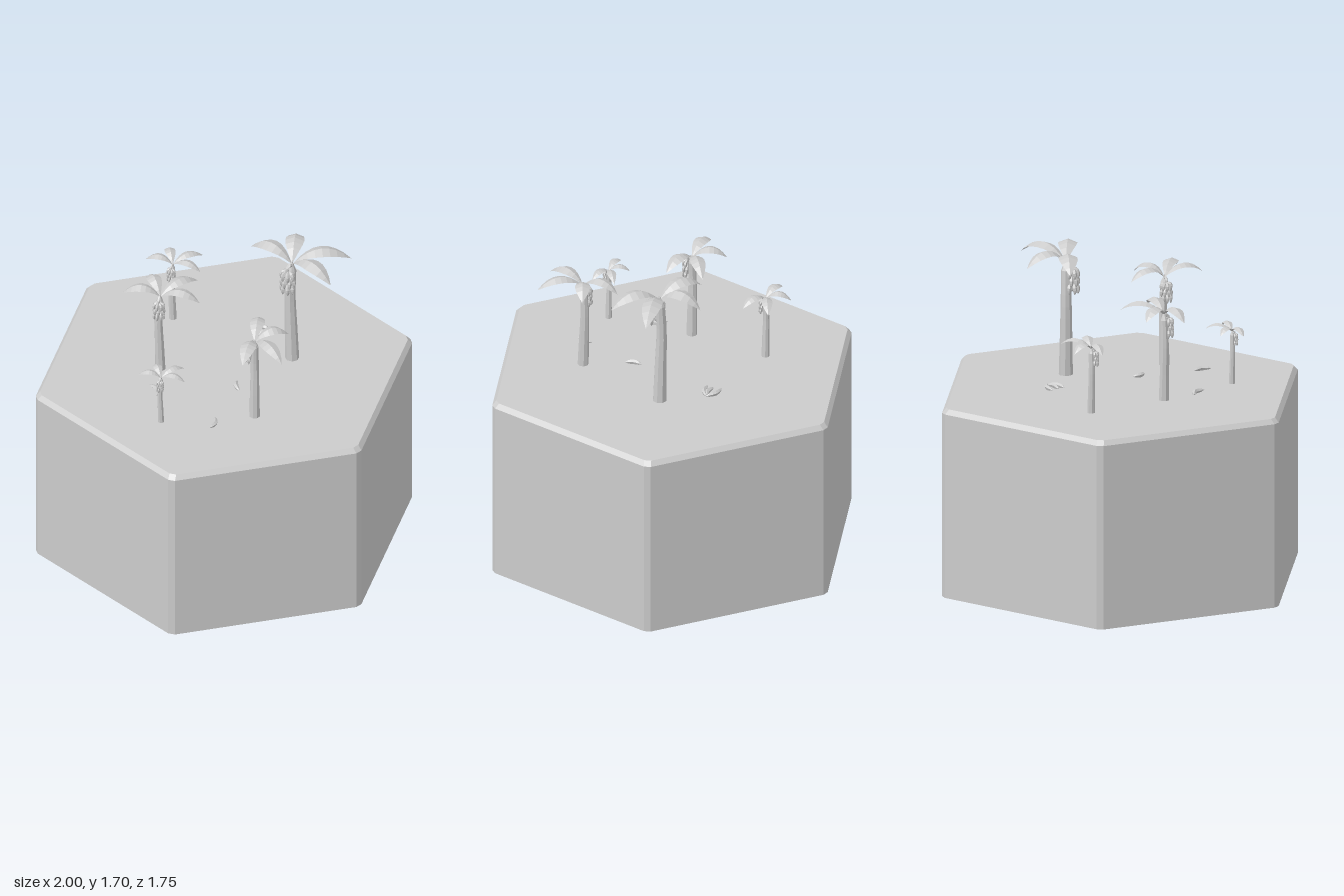
import * as THREE from 'three';

const GROUND = 1.015;
const V = (x, y, z) => new THREE.Vector3(x, y, z);
const grey = new THREE.MeshStandardMaterial({ color: 0xcccccc, flatShading: true });
const thin = new THREE.MeshStandardMaterial({ color: 0xcccccc, flatShading: true, side: THREE.DoubleSide });

function part(name, geometry, material = grey) {
  const mesh = new THREE.Mesh(geometry, material);
  mesh.name = name;
  return mesh;
}

// Tube along points whose radius follows radiusAt(t)
function taperedTube(points, radiusAt, segments, sides) {
  const curve = new THREE.CatmullRomCurve3(points);
  const geo = new THREE.TubeGeometry(curve, segments, 1, sides);
  const pos = geo.attributes.position;
  const v = V(0, 0, 0);
  for (let i = 0; i <= segments; i++) {
    const c = curve.getPointAt(i / segments);
    for (let j = 0; j <= sides; j++) {
      const k = i * (sides + 1) + j;
      v.fromBufferAttribute(pos, k).sub(c).multiplyScalar(radiusAt(i / segments)).add(c);
      pos.setXYZ(k, v.x, v.y, v.z);
    }
  }
  geo.computeVertexNormals();
  return geo;
}

function banana(points, r) {
  const radiusAt = t => (t === 0 || t === 1 ? 0 : r * (0.35 + 0.65 * Math.sin(Math.PI * t)));
  return part('banana', taperedTube(points, radiusAt, 6, 5));
}

// Hexagonal ring with cut corners
function hexRing(apothem, y) {
  const R = apothem / Math.cos(Math.PI / 6), cut = 0.021 / R, ring = [];
  const corner = k => V(R * Math.cos(k * Math.PI / 3), y, R * Math.sin(k * Math.PI / 3));
  for (let k = 0; k < 6; k++) {
    ring.push(corner(k).lerp(corner(k - 1), cut), corner(k).lerp(corner(k + 1), cut));
  }
  return ring;
}

// Block: straight walls, small bevel around the top
function plinth() {
  const rings = [hexRing(0.875, 0), hexRing(0.875, 0.99), hexRing(0.855, GROUND)];
  const tris = [], n = 12;
  for (let i = 0; i < n; i++) {
    const j = (i + 1) % n;
    for (let r = 0; r < 2; r++) {
      const a = rings[r], b = rings[r + 1];
      tris.push(a[i], b[i], b[j], a[i], b[j], a[j]);
    }
    tris.push(V(0, GROUND, 0), rings[2][j], rings[2][i]);
    tris.push(V(0, 0, 0), rings[0][i], rings[0][j]);
  }
  const geo = new THREE.BufferGeometry().setFromPoints(tris);
  geo.computeVertexNormals();
  return part('hexagonalBase', geo);
}

// Arched leaf with a raised midrib, running along +x
function leaf(length, halfWidth) {
  const n = 8, pts = [], index = [];
  for (let i = 0; i <= n; i++) {
    const t = i / n, x = length * t;
    const y = 0.33 * t * (1 - t) + 0.005 * t;
    const w = halfWidth * Math.pow(Math.sin(Math.PI * Math.pow(t, 1.1)), 0.9) || 0;
    pts.push(V(x, y - 0.4 * w, -w), V(x, y, 0), V(x, y - 0.4 * w, w));
    if (i < n) {
      for (let s = 0; s < 2; s++) {
        const a = i * 3 + s;
        index.push(a, a + 1, a + 4, a, a + 4, a + 3);
      }
    }
  }
  const geo = new THREE.BufferGeometry().setFromPoints(pts);
  geo.setIndex(index);
  geo.computeVertexNormals();
  return part('leaf', geo, thin);
}

function bananaTree() {
  const tree = new THREE.Group();
  tree.name = 'bananaTree';

  // Slightly bowed trunk closing to a point inside the crown
  const path = [V(0, -0.01, 0), V(-0.006, 0.2, 0.002), V(-0.012, 0.4, 0.003), V(0, 0.625, 0)];
  const trunkRadius = t => (t === 1 ? 0 : 0.037 - 0.013 * t);
  tree.add(part('trunk', taperedTube(path, trunkRadius, 10, 8)));

  // Four leaves fanning away from the fruit
  const leaves = [[169, 0.26], [231, 0.24], [306, 0.31], [358, 0.277]];
  for (const [deg, length] of leaves) {
    const m = leaf(length, 0.05);
    m.position.y = 0.6;
    m.rotation.y = -THREE.MathUtils.degToRad(deg);
    tree.add(m);
  }

  // Hanging fruit bunch
  const bunch = new THREE.Group();
  bunch.name = 'fruitBunch';
  const stalk = [V(0, 0.59, 0), V(0, 0.605, 0.025), V(0, 0.55, 0.04), V(0, 0.44, 0.042)];
  bunch.add(part('fruitStalk', taperedTube(stalk, t => (t === 1 ? 0 : 0.01), 8, 5)));
  [0.575, 0.535, 0.495].forEach((y, tier) => {
    for (let k = 0; k < 5; k++) {
      const a = -1.7 + 0.85 * k + (tier % 2 ? 0.2 : -0.1);
      const at = (r, h) => V(r * Math.sin(a), h, 0.03 + r * Math.cos(a));
      bunch.add(banana([at(0.006, y), at(0.03, y - 0.015), at(0.034, y - 0.06)], 0.012));
    }
  });
  tree.add(bunch);
  return tree;
}

export function createModel() {
  const model = new THREE.Group();
  model.name = 'bananaGrove';
  model.add(plinth());

  // Trees: x, z, scale, turn in degrees
  const spots = [
    [0.195, -0.302, 1, 0],
    [0.42, 0.188, 0.785, -63],
    [-0.215, 0.25, 0.765, 27],
    [0.118, 0.57, 0.465, 25],
    [-0.482, -0.1, 0.57, 18],
  ];
  const tree = bananaTree();
  for (const [x, z, s, deg] of spots) {
    const t = tree.clone();
    t.position.set(x, GROUND, z);
    t.scale.setScalar(s);
    t.rotation.y = THREE.MathUtils.degToRad(deg);
    model.add(t);
  }

  // Fallen fruit: start, middle and end as x, z pairs
  const fallen = [
    [0.15, 0.05, 0.175, 0.085, 0.22, 0.105],
    [-0.145, 0.4, -0.085, 0.4, -0.045, 0.445],
    [0.295, 0.355, 0.335, 0.39, 0.345, 0.44],
    [-0.03, -0.375, -0.09, -0.37, -0.14, -0.335],
    [-0.035, -0.375, -0.045, -0.32, -0.085, -0.28],
    [-0.04, -0.37, -0.06, -0.335, -0.105, -0.31],
  ];
  for (const [ax, az, bx, bz, cx, cz] of fallen) {
    const y = GROUND + 0.01;
    const m = banana([V(ax, y, az), V(bx, y + 0.002, bz), V(cx, y, cz)], 0.013);
    m.name = 'fallenBanana';
    model.add(m);
  }
  return model;
}
